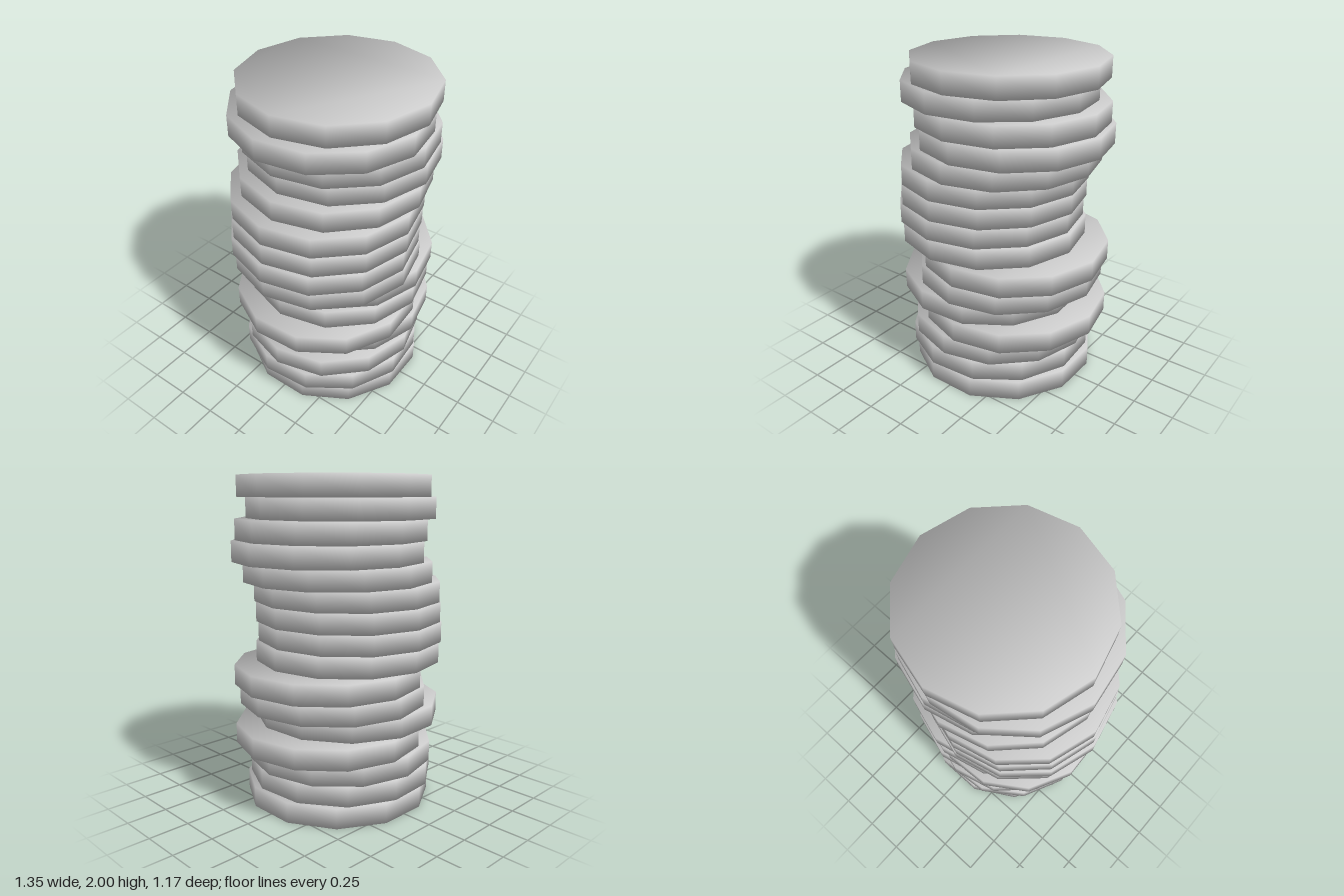
import * as THREE from 'three';

const SIDES = 12, RADIUS = 0.583, THICKNESS = 0.125;

// Sideways shift and turn (degrees) of each disc, bottom to top
const DISCS = [
  [0.013, -15], [-0.017, -10.6], [-0.008, -1], [0.092, -3],
  [-0.07, -12], [0.055, -2], [0.092, -3], [-0.077, -2],
  [-0.097, -2], [-0.08, -1], [-0.07, -2], [0.012, 0],
  [0.09, -2], [0.06, -3], [-0.025, -6], [0.043, 0],
];

// Twelve-sided disc whose normals blend smoothly over the rim
function discGeometry() {
  const points = [];
  for (let i = 0; i < SIDES; i++) {
    const a = (i / SIDES) * Math.PI * 2;
    points.push(new THREE.Vector2(Math.cos(a) * RADIUS, Math.sin(a) * RADIUS));
  }
  const geometry = new THREE.ExtrudeGeometry(new THREE.Shape(points), {
    depth: THICKNESS, bevelEnabled: false, steps: 1,
  });
  geometry.translate(0, 0, -THICKNESS / 2);
  geometry.rotateX(-Math.PI / 2);
  const position = geometry.attributes.position;
  const normal = new THREE.Vector3();
  for (let i = 0; i < position.count; i++) {
    normal.set(position.getX(i) / RADIUS, Math.sign(position.getY(i)), position.getZ(i) / RADIUS).normalize();
    geometry.attributes.normal.setXYZ(i, normal.x, normal.y, normal.z);
  }
  return geometry;
}

export function createModel() {
  const group = new THREE.Group();
  group.name = 'discStack';
  const geometry = discGeometry();
  const material = new THREE.MeshStandardMaterial({ color: 0xcccccc });

  // Loosely piled discs
  DISCS.forEach(([x, turn], i) => {
    const disc = new THREE.Mesh(geometry, material);
    disc.name = `disc${i + 1}`;
    disc.position.set(x, (i + 0.5) * THICKNESS, 0);
    disc.rotation.y = THREE.MathUtils.degToRad(turn);
    group.add(disc);
  });
  return group;
}
